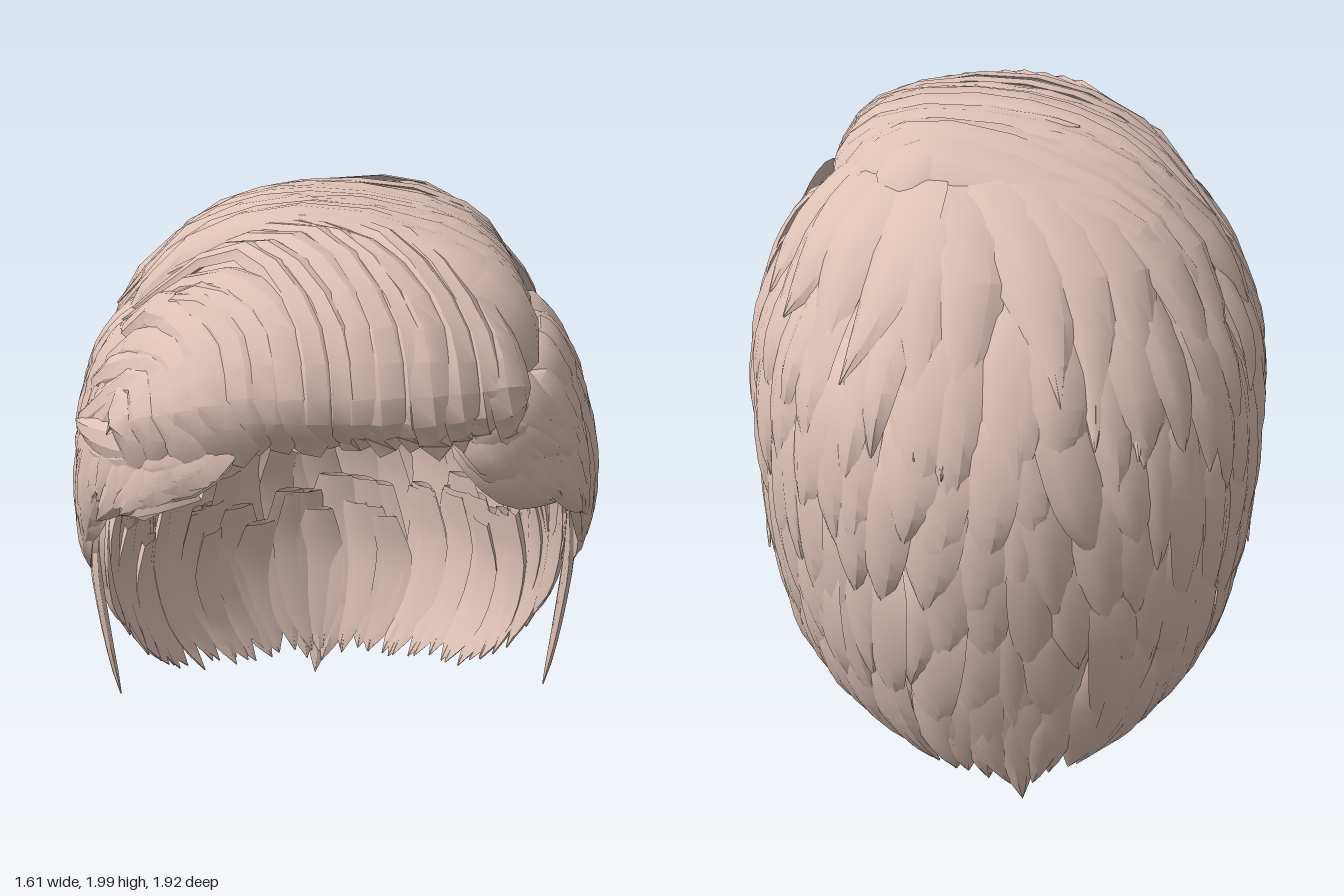
import * as THREE from 'three';
import { toCreasedNormals } from 'three/addons/utils/BufferGeometryUtils.js';

const V = (x, y, z) => new THREE.Vector3(x, y, z);
const { lerp, clamp } = THREE.MathUtils;

// Small seeded generator, -1..1
let seed = 7;
const rnd = () => ((seed = (seed * 16807) % 2147483647) / 2147483647) * 2 - 1;

// Piecewise-linear lookup in rows of [key, a, b, ...]
function look(rows, key, col = 1) {
  let i = 0;
  while (i < rows.length - 2 && key > rows[i + 1][0]) i++;
  const t = clamp((key - rows[i][0]) / (rows[i + 1][0] - rows[i][0]), 0, 1);
  return lerp(rows[i][col], rows[i + 1][col], t);
}

// Head volume: height, half width, reach to the front, reach to the back
const HEAD = [
  [0.0, 0.27, 0.92, 0.7], [0.1, 0.44, 0.92, 0.73], [0.2, 0.57, 0.92, 0.76], [0.4, 0.69, 0.92, 0.82],
  [0.6, 0.74, 0.92, 0.875], [0.8, 0.762, 0.92, 0.915], [1.0, 0.775, 0.92, 0.94], [1.2, 0.775, 0.92, 0.935],
  [1.4, 0.745, 0.92, 0.885], [1.55, 0.685, 0.915, 0.81], [1.7, 0.58, 0.86, 0.69], [1.8, 0.47, 0.76, 0.54],
  [1.87, 0.37, 0.64, 0.4], [1.92, 0.26, 0.48, 0.25], [1.96, 0, 0, 0],
];
// Lower hem and root height by angle from the front
const HEM = [[0, 1.47], [0.52, 1.42], [0.78, 1.25], [1.21, 1.06], [1.42, 0.86], [1.57, 0.75], [1.69, 0.68],
  [1.73, 0.5], [1.84, 0.32], [2.1, 0.18], [2.5, 0.12], [3.15, 0.09]];
const ROOT = [[0.4, 1.5], [1.0, 1.62], [1.57, 1.76], [2.2, 1.82], [3.15, 1.84]];

// The plan is a superellipse, squarer at the front than at the back
const power = (z) => (z > 0 ? 2.5 : 2.25);
const planRadius = (x, z, a, b) => {
  const e = power(z);
  return (Math.abs(x / a) ** e + Math.abs(z / b) ** e) ** (1 / e);
};

// Point on the head at an angle and height; k < 1 sinks it inwards
function onHead(phi, y, k = 1) {
  const c = Math.cos(phi), s = Math.sin(phi), e = 2 / power(c);
  return V(look(HEAD, y, 1) * Math.sign(s) * Math.abs(s) ** e * k, y > 1 ? 1 + (y - 1) * k : y,
    look(HEAD, y, c > 0 ? 2 : 3) * Math.sign(c) * Math.abs(c) ** e * k);
}

// Point on the dome above a position in plan
function onTop(x, z, lift = 0) {
  const r = planRadius(x, z, 0.775, 0.92);
  if (r > 0.985) { x *= 0.985 / r; z *= 0.985 / r; }
  let lo = 1, hi = 1.96;
  for (let i = 0; i < 24; i++) {
    const y = (lo + hi) / 2;
    if (planRadius(x, z, look(HEAD, y, 1) + 1e-5, look(HEAD, y, z > 0 ? 2 : 3) + 1e-5) < 1) lo = y; else hi = y;
  }
  return V(x, lo + lift, z);
}

const material = new THREE.MeshStandardMaterial({ color: 0xdcc0b4, side: THREE.DoubleSide });

function meshFrom(pos, index, name, crease) {
  const g = new THREE.BufferGeometry();
  g.setAttribute('position', new THREE.Float32BufferAttribute(pos, 3));
  g.setIndex(index);
  const m = new THREE.Mesh(toCreasedNormals(g, crease), material);
  m.name = name;
  return m;
}

// One tapered lock: an arched section swept along a path and closed to a point
const SECTION = [[-1, 0], [-0.55, 0.75], [0.1, 1], [0.6, 0.7], [1, 0], [0, -0.4]];
function lock(name, points, halfWidth, height, tilt = 0, steps = 9) {
  const curve = new THREE.CatmullRomCurve3(points);
  const pos = [], index = [], n = SECTION.length;
  for (let i = 0; i <= steps; i++) {
    const t = i / steps, p = curve.getPoint(t), tan = curve.getTangent(t);
    const up = V(p.x / 0.64, (p.y - 1) * (p.y > 1 ? 1 : 0.35), p.z / 0.9).normalize();
    const side = tan.clone().cross(up).normalize().applyAxisAngle(tan, tilt);
    up.crossVectors(side, tan);
    const w = Math.max(0.015, (0.5 + 0.5 * Math.min(1, t / 0.35)) * (1 - t ** 3));
    for (const [a, b] of SECTION) {
      const q = p.clone().addScaledVector(side, a * w * halfWidth).addScaledVector(up, b * height * Math.sqrt(w));
      pos.push(q.x, q.y, q.z);
    }
  }
  for (let i = 0; i < steps; i++) for (let j = 0; j < n; j++) {
    const a = i * n + j, b = i * n + (j + 1) % n;
    index.push(a, b, a + n, b, b + n, a + n);
  }
  return meshFrom(pos, index, name, 0.5);
}

// Thin inner cap under the upper locks
function makeCap() {
  const pos = [], index = [], nu = 64, nv = 16;
  for (let i = 0; i <= nu; i++) for (let j = 0; j <= nv; j++) {
    const phi = -Math.PI + (2 * Math.PI * i) / nu;
    const edge = Math.max(1.3, look(HEM, Math.abs(phi)) + 0.03);
    const p = onHead(phi, lerp(edge, 1.959, Math.sin((j / nv) * Math.PI / 2)), 0.95);
    pos.push(p.x, p.y, p.z);
  }
  for (let i = 0; i < nu; i++) for (let j = 0; j < nv; j++) {
    const a = i * (nv + 1) + j, b = a + nv + 1;
    index.push(a, b, a + 1, b, b + 1, a + 1);
  }
  return meshFrom(pos, index, 'innerCap', 1);
}

// Lock hanging on the head from one height to another, drifting backwards by sweep
function hang(s, phi, start, tip, sweep, halfWidth, tilt) {
  const path = [[0, 0.9], [0.3, 0.96], [0.7, 0.99], [1, 1]].map(([t, r]) =>
    onHead(s * Math.max(0.48, phi - sweep * (1 - t * t)), lerp(start, tip, t), r));
  return lock('sideLock', path, halfWidth, 0.038, tilt);
}

// Overlapping rows from a doubled hem up to the roots, on both sides and the back
function addSideRows(group) {
  const rows = 6, count = 17;
  for (const s of [1, -1]) {
    for (let k = -1; k < rows; k++) for (let i = 0; i < count; i++) {
      const phi = Math.min(Math.PI, lerp(0.65, 3.14, (i + (k & 1) * 0.5) / (count - 0.5)) + rnd() * 0.05);
      const hem = look(HEM, phi), root = look(ROOT, phi);
      const tip = lerp(hem, root, (Math.max(0, k) / rows) * 0.74) + rnd() * (k > 0 ? 0.08 : 0.015);
      const start = k === rows - 1 ? root : Math.min(root, tip + 0.6 + rnd() * 0.1);
      const sweep = 0.38 * clamp((2.1 - phi) / 1.2, 0, 1) + rnd() * 0.07;
      group.add(hang(s, phi, start, tip, sweep, 0.115 + rnd() * 0.02, s * (0.14 + rnd() * 0.16)));
    }
    // Upright edge behind the ear
    for (const phi of [1.77, 1.83, 1.9, 1.98])
      group.add(hang(s, phi, 0.95, look(HEM, phi) - 0.01, 0, 0.09, s * 0.1));
  }
}

// Locks fanning from the crown down the back
function addCrown(group) {
  for (let i = 0; i < 14; i++) {
    const phi = lerp(1.75, 4.5, i / 13) + rnd() * 0.05, tip = 1.36 + rnd() * 0.14;
    const edge = onHead(phi, 1.68);
    group.add(lock('crownLock', [
      onTop(0.24, -0.2, -0.04), onTop(lerp(0.24, edge.x, 0.5), lerp(-0.2, edge.z, 0.5), -0.005),
      edge, onHead(phi + rnd() * 0.1, tip, 1.02)], 0.14, 0.038, rnd() * 0.25));
  }
}

// Front wave: rises from the forehead edge and rolls back to the model's right
function addFrontWave(group) {
  const count = 17;
  for (let i = 0; i < count; i++) {
    const x = lerp(-0.56, 0.42, i / (count - 1)), low = x < -0.25 ? (x + 0.25) * 0.4 : 0;
    const z = 0.915 * (1 - Math.abs(x / 0.76) ** 2.5) ** 0.4;
    const drift = rnd() * 0.05;
    group.add(lock('frontWaveLock', [
      V(x * 0.95, 1.49 + low, z - 0.16), V(x, 1.48 + low, z - 0.05), V(x, 1.56 + low * 0.8, z),
      onTop(x - 0.03, z - 0.1, 0.01), onTop(x - 0.2, z - 0.36 + drift, 0.015),
      onTop(x - 0.56 + drift, z - 0.74 + drift, 0.01)], 0.1 + rnd() * 0.02, 0.045, 0.16 + rnd() * 0.16, 14));
  }
}

// Locks rolling up over the parting on the left and sweeping across the top
function addSweep(group) {
  for (const [count, reach] of [[11, -0.7], [8, -0.2]]) for (let i = 0; i < count; i++) {
    const z = lerp(-0.28, 0.66, i / (count - 1));
    const edge = z < 0 ? 0.48 + z * 0.5 : 0.48 - z * 0.05;
    const slope = 0.36 + Math.max(0, z) * 0.2 + rnd() * 0.06;
    const at = (x, lift) => onTop(x, z - (edge - x) * slope, lift);
    const end = reach + rnd() * 0.12;
    const rim = onTop(edge, z).y;
    group.add(lock('sweepLock', [
      V(edge - 0.06, rim - 0.1, z + 0.02), V(edge + 0.01, rim - 0.01, z), at(edge - 0.1, 0.03),
      at(lerp(edge, end, 0.45), 0.005), at(lerp(edge, end, 0.75), 0.01), at(end, 0.03)],
      0.125 + rnd() * 0.015, 0.038, 0.1 + rnd() * 0.22, 13));
  }
}

// Tapered strand in front of each ear, and one crossing behind it
function addSideburns(group) {
  for (const s of [1, -1]) {
    group.add(lock('sideburn', [V(s * 0.73, 1.05, 0.17), V(s * 0.745, 0.85, 0.13), V(s * 0.725, 0.6, 0.115),
      V(s * 0.695, 0.35, 0.095)], 0.1, 0.025));
    group.add(lock('earLock', [V(s * 0.74, 0.98, 0.12), V(s * 0.755, 0.8, -0.05), V(s * 0.755, 0.64, -0.27)], 0.08, 0.025));
  }
}

// Curled ends where the wave meets the right temple
function addTempleCurls(group) {
  for (let i = 0; i < 5; i++) {
    const y = 1.48 - i * 0.05, flick = rnd() * 0.05;
    group.add(lock('templeCurl', [V(-0.38, y + 0.03, 0.79), V(-0.54, y - 0.05 + flick, 0.7),
      V(-0.67, y - 0.09, 0.55 - i * 0.04), V(-0.755, y - 0.08 + flick * 2, 0.36 - i * 0.07)],
      0.075, 0.038, 0.2 + flick * 4));
  }
}

// Pointed tuft at the nape
function addNapeTuft(group) {
  for (const x of [-0.1, 0.08, 0])
    group.add(lock('napeLock', [V(x, 0.5, -0.82), V(x * 0.9, 0.28, -0.78),
      V(-0.03 + x * 0.3, 0.005 + Math.abs(x) * 0.6, -0.72)], 0.085, 0.035));
}

export function createModel() {
  seed = 7;
  const model = new THREE.Group();
  model.name = 'hair';
  model.add(makeCap());
  const sections = {
    sideAndBackHair: addSideRows, crownHair: addCrown, topSweep: addSweep, frontWave: addFrontWave,
    sideburns: addSideburns, templeCurls: addTempleCurls, napeTuft: addNapeTuft,
  };
  for (const [name, fill] of Object.entries(sections)) {
    const group = new THREE.Group();
    group.name = name;
    fill(group);
    model.add(group);
  }
  return model;
}
